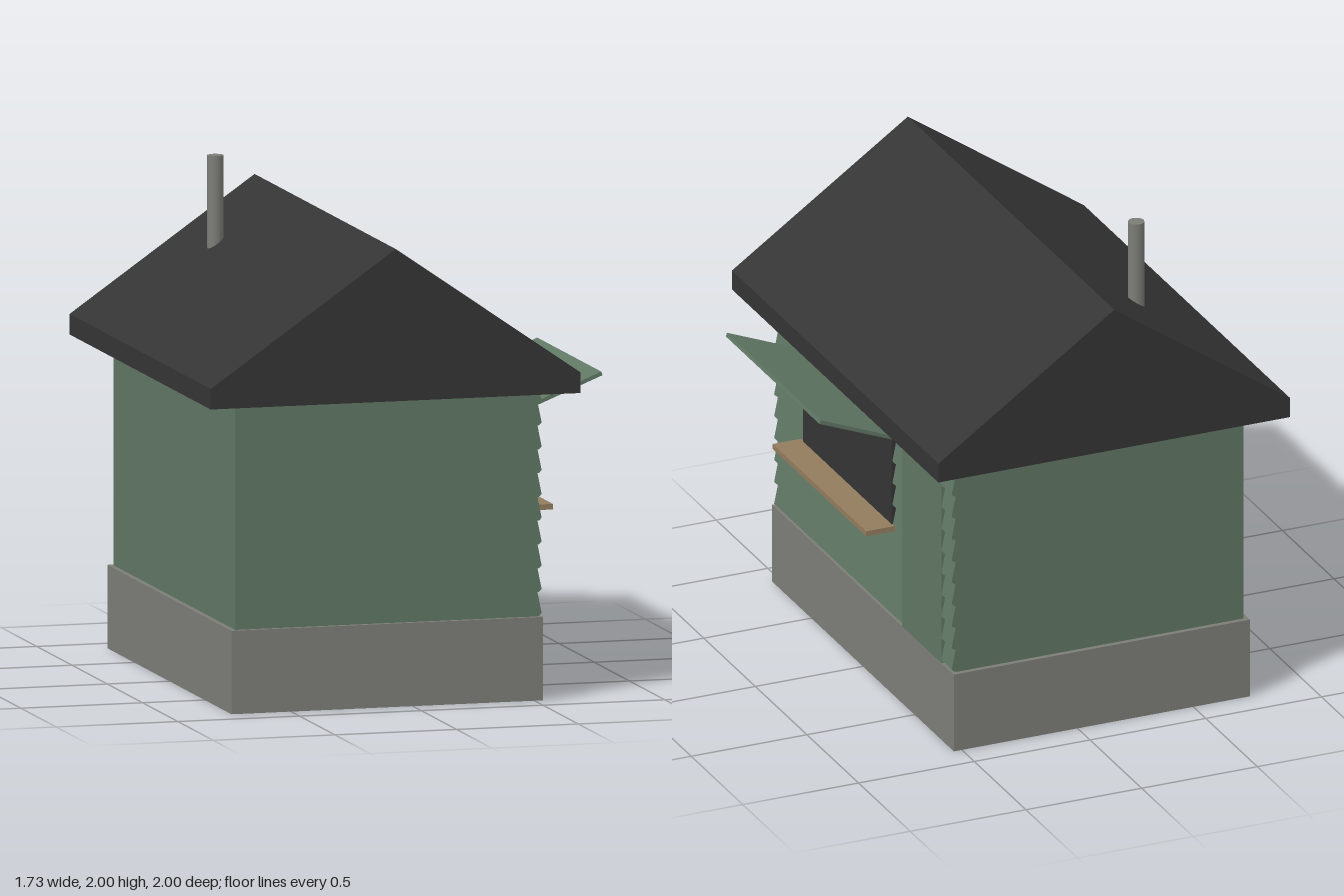
import * as THREE from 'three';

const mat = (name, color) => {
  const m = new THREE.MeshStandardMaterial({ color });
  m.name = name;
  return m;
};

export function createModel() {
  const green = mat('green paint', 0x607764);
  const dark = mat('dark roofing', 0x353535);
  const stone = mat('grey stone', 0x7d7d78);
  const wood = mat('light wood', 0x937c5e);

  const model = new THREE.Group();
  model.name = 'kiosk';

  const add = (name, geometry, material, parent = model) => {
    const mesh = new THREE.Mesh(geometry, material);
    mesh.name = name;
    parent.add(mesh);
    return mesh;
  };
  // Box given by its lower and upper corner
  const box = (name, [x0, y0, z0], [x1, y1, z1], material) =>
    add(name, new THREE.BoxGeometry(x1 - x0, y1 - y0, z1 - z0)
      .translate((x0 + x1) / 2, (y0 + y1) / 2, (z0 + z1) / 2), material);
  // Outline in x and y, drawn out from z0 to z1
  const prism = (points, z0, z1) =>
    new THREE.ExtrudeGeometry(new THREE.Shape(points.map(p => new THREE.Vector2(...p))),
      { depth: z1 - z0, bevelEnabled: false }).translate(0, 0, z0);

  // Foundation and walls
  box('foundation', [-0.745, 0, -0.88], [0.535, 0.333, 0.88], stone);
  box('walls', [-0.725, 0.333, -0.86], [0.516, 1.25, 0.86], green);

  // Lapped boards on the serving side, interrupted by the door
  const siding = new THREE.Group();
  siding.name = 'siding';
  model.add(siding);
  const pitch = 0.095;
  for (let y = 0.335; y < 1.24; y += pitch) {
    const top = Math.min(y + pitch, 1.245);
    const outline = [[0.51, y], [0.524, y], [0.535, y + 0.011], [0.518, top], [0.51, top]];
    for (const [z0, z1] of [[-0.38, 0.86], [-0.86, -0.76]]) {
      add('board', prism(outline, z0, z1), green, siding);
    }
  }

  // Door, serving window, counter and the beam above
  box('door', [0.51, 0.333, -0.76], [0.535, 1.245, -0.38], green);
  box('window', [0.51, 0.735, -0.285], [0.538, 1.115, 0.575], dark);
  box('counter', [0.516, 0.715, -0.305], [0.657, 0.737, 0.6], wood);
  box('signBeam', [0.515, 1.165, -0.52], [0.572, 1.241, 0.52], wood);

  // Raised window shutter
  add('shutter', prism([[0.522, 1.106], [0.86, 1.242], [0.855, 1.257], [0.517, 1.12]], -0.307, 0.6), green);

  // Solid gable roof and flue pipe
  add('roof', prism([[-0.865, 1.24], [0.655, 1.24], [0.655, 1.322], [-0.105, 1.848], [-0.865, 1.322]], -1, 1), dark);
  add('chimney', new THREE.CylinderGeometry(0.033, 0.033, 0.5, 12).translate(-0.39, 1.75, -0.573), stone);

  return model;
}
